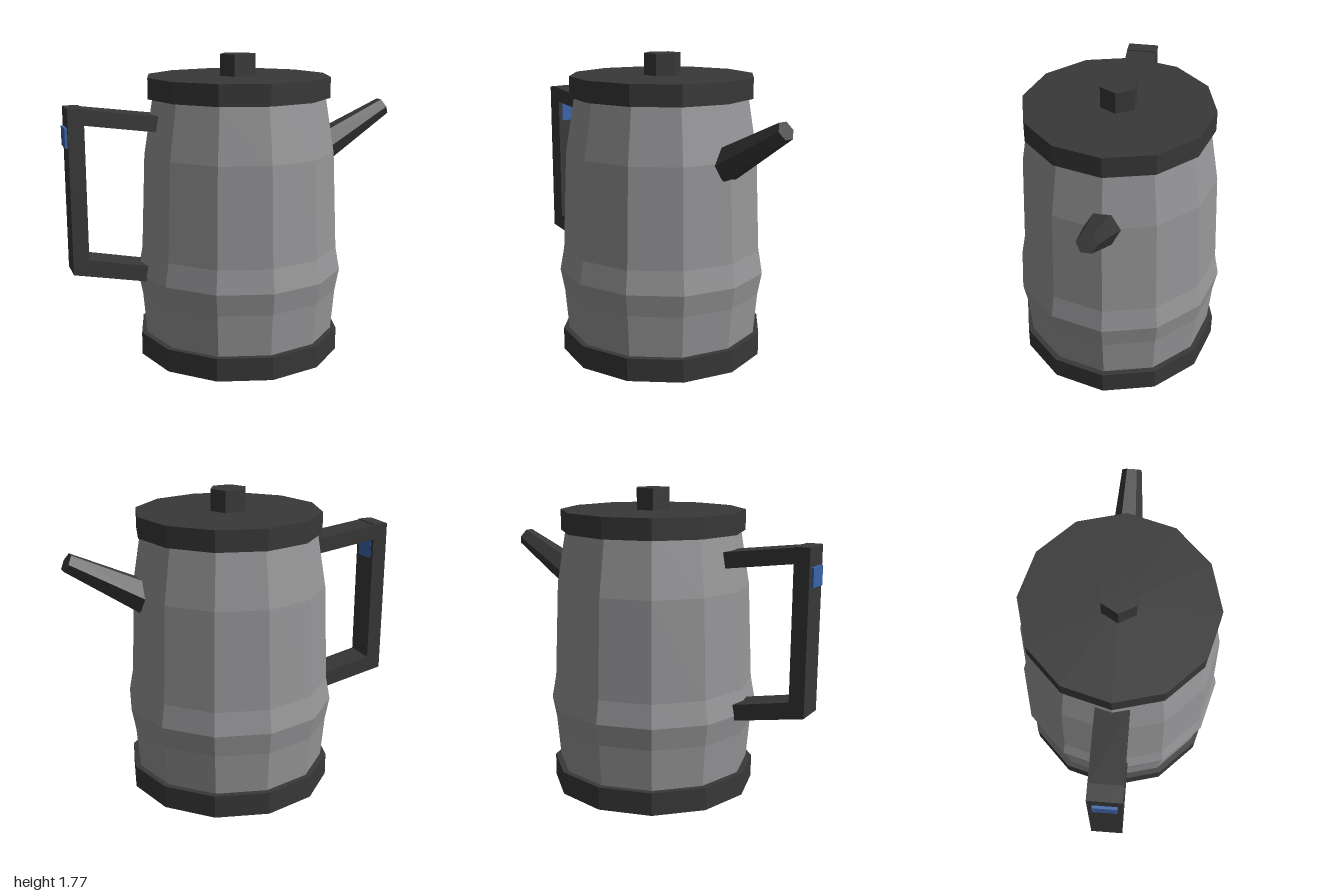
import * as THREE from 'three';

const mat = (name, color) => {
  const m = new THREE.MeshStandardMaterial({ color, flatShading: true });
  m.name = name;
  return m;
};

export function createModel() {
  const steel = mat('brushed steel', 0x969698);
  const dark = mat('dark trim', 0x383838);
  const blue = mat('blue tag', 0x3a64a8);

  const group = new THREE.Group();
  group.name = 'coffeePot';
  const CX = 0.025; // axis of the pot

  const add = (name, geometry, material, x = 0, y = 0, z = 0) => {
    const mesh = new THREE.Mesh(geometry, material);
    mesh.name = name;
    mesh.position.set(x, y, z);
    group.add(mesh);
    return mesh;
  };

  // Twelve-sided body with a bulge near the bottom
  const profile = [
    [0, 0.1], [0.57, 0.1], [0.572, 0.135], [0.593, 0.38], [0.617, 0.51],
    [0.592, 0.645], [0.567, 1.215], [0.513, 1.54], [0, 1.54],
  ].map(([r, y]) => new THREE.Vector2(r, y));
  add('body', new THREE.LatheGeometry(profile, 12), steel, CX);

  // Base ring, lid and hexagonal knob
  add('base', new THREE.CylinderGeometry(0.606, 0.606, 0.135, 12), dark, CX, 0.0675);
  add('lid', new THREE.CylinderGeometry(0.54, 0.54, 0.12, 12), dark, CX, 1.59);
  add('knob', new THREE.CylinderGeometry(0.108, 0.108, 0.125, 6, 1, false, Math.PI / 2),
    dark, CX, 1.7125);

  // Tapered hexagonal spout between two points
  const from = new THREE.Vector2(0.543, 1.193);
  const to = new THREE.Vector2(0.973, 1.436);
  const axis = to.clone().sub(from);
  const mid = from.clone().add(to).multiplyScalar(0.5);
  const spout = add('spout', new THREE.CylinderGeometry(0.056, 0.102, axis.length(), 6),
    dark, mid.x, mid.y);
  spout.rotation.z = axis.angle() - Math.PI / 2;

  // Handle: upright grip with two sloping arms
  const outline = [
    [-0.985, 0.565], [-0.567, 0.484], [-0.553, 0.576], [-0.895, 0.645],
    [-0.895, 1.41], [-0.487, 1.353], [-0.476, 1.443], [-0.895, 1.497],
    [-0.895, 1.503], [-0.985, 1.503],
  ].map(([x, y]) => new THREE.Vector2(x, y));
  const handle = new THREE.ExtrudeGeometry(new THREE.Shape(outline),
    { depth: 0.186, bevelEnabled: false });
  add('handle', handle, dark, 0, 0, -0.093);

  // Tag plates on the outer and inner faces of the grip
  add('outerTag', new THREE.BoxGeometry(0.0155, 0.11, 0.134), blue, -0.99225, 1.34);
  add('innerTag', new THREE.BoxGeometry(0.004, 0.11, 0.134), blue, -0.895, 1.34);

  return group;
}
